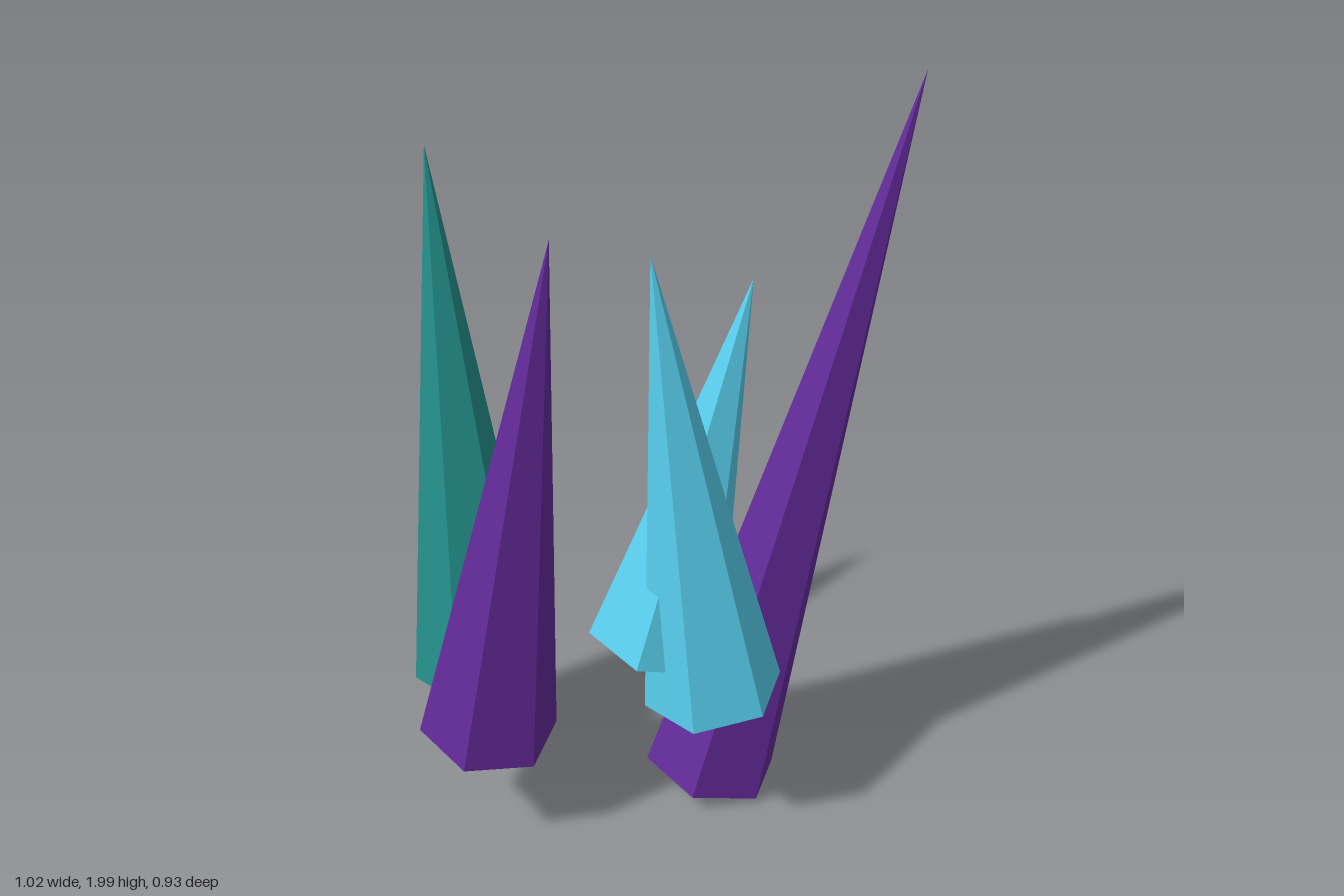
import * as THREE from 'three';

const PURPLE = 0x642b9b, TEAL = 0x24908b, CYAN = 0x58cfef;
const RADIUS = 0.176;

// Each crystal: centre of its base, its tip, and colour
const CRYSTALS = [
  { name: 'tallPurpleCrystal', base: [0.175, 0.04, 0.175], tip: [0.507, 1.995, 0.447], color: PURPLE },
  { name: 'leftPurpleCrystal', base: [-0.357, 0.295, -0.092], tip: [-0.3, 1.735, 0.112], color: PURPLE },
  { name: 'tealCrystal', base: [-0.215, 0.294, -0.29], tip: [-0.211, 1.742, -0.428], color: TEAL },
  { name: 'frontCyanCrystal', base: [0.062, 0.412, 0.287], tip: [-0.053, 1.63, 0.166], color: CYAN },
  { name: 'leaningCyanCrystal', base: [0.002, 0.528, 0.143], tip: [0.2, 1.51, 0.242], color: CYAN },
];

// Six-sided closed cone running from base centre to tip
function makeCrystal({ name, base, tip, color }) {
  const from = new THREE.Vector3(...base);
  const axis = new THREE.Vector3(...tip).sub(from);
  const height = axis.length();
  const geometry = new THREE.ConeGeometry(RADIUS, height, 6);
  geometry.translate(0, height / 2, 0);
  const mesh = new THREE.Mesh(geometry, new THREE.MeshStandardMaterial({ color, flatShading: true }));
  mesh.name = name;
  mesh.position.copy(from);
  mesh.quaternion.setFromUnitVectors(new THREE.Vector3(0, 1, 0), axis.normalize());
  return mesh;
}

export function createModel() {
  const group = new THREE.Group();
  group.name = 'crystalCluster';
  for (const crystal of CRYSTALS) group.add(makeCrystal(crystal));
  return group;
}
